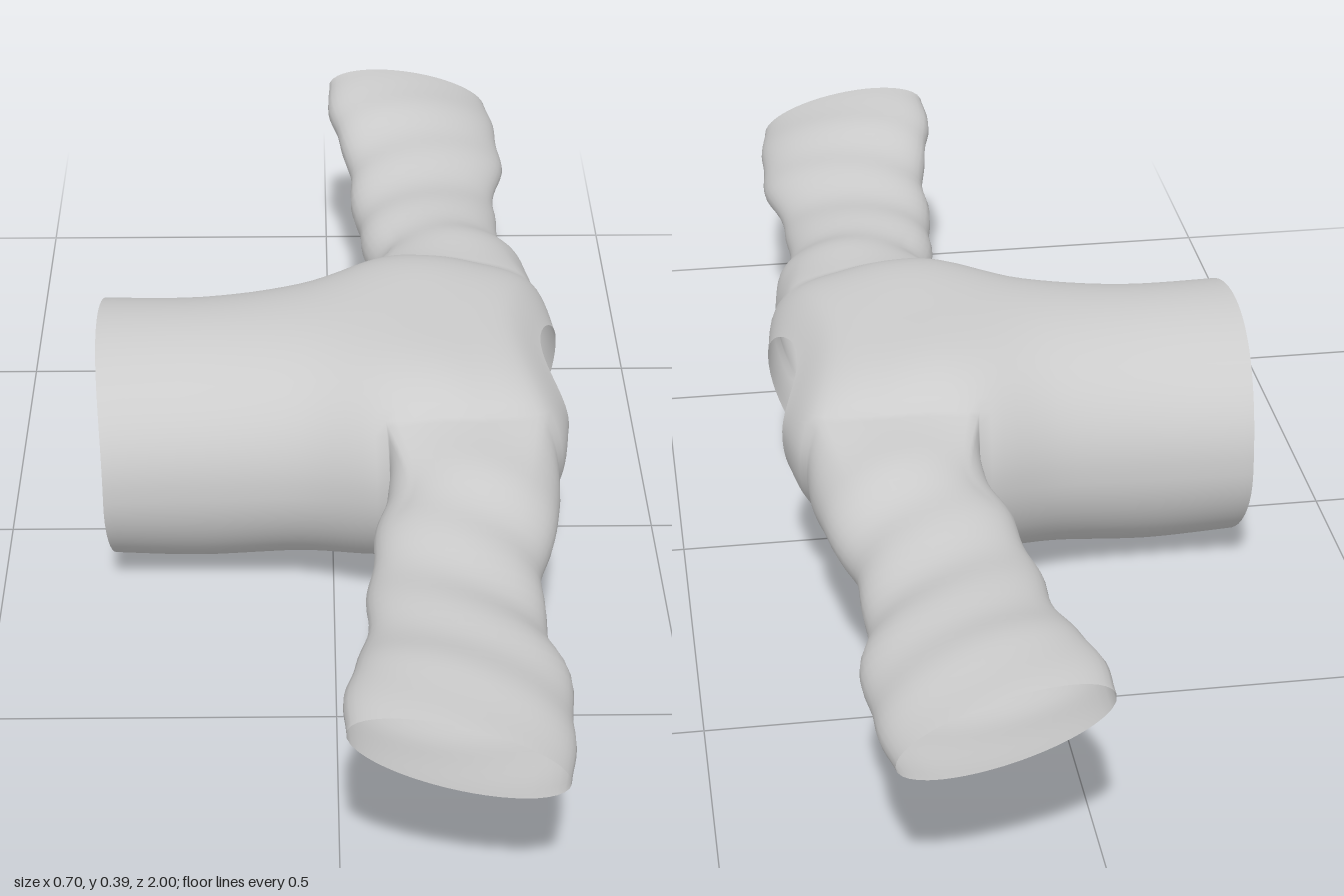
import * as THREE from 'three';

// Smooth interpolation through a list of equal-length number rows
function spline(rows, t) {
  const n = rows.length - 1;
  const i = Math.min(Math.floor(t), n - 1), f = t - i;
  const p0 = rows[Math.max(i - 1, 0)], p1 = rows[i], p2 = rows[i + 1], p3 = rows[Math.min(i + 2, n)];
  return p1.map((b, k) => {
    const a = p0[k], c = p2[k], d = p3[k];
    return b + 0.5 * f * (c - a + f * (2 * a - 5 * b + 4 * c - d + f * (3 * (b - c) + d - a)));
  });
}

// Bodice sections, hem to neck: side x, half width, side y, top x, top y, bottom x, bottom y, shoulder bulge
const BODICE = [
  [-0.34, 0.225, 0.19, -0.355, 0.374, -0.323, 0.012, 0],
  [-0.2, 0.22, 0.19, -0.2, 0.376, -0.2, 0.003, 0],
  [-0.05, 0.24, 0.205, -0.05, 0.386, -0.05, 0.018, 0.005],
  [0.08, 0.3, 0.235, 0.06, 0.394, 0.05, 0.032, 0.014],
  [0.16, 0.3, 0.245, 0.125, 0.393, 0.11, 0.045, 0.018],
  [0.235, 0.29, 0.25, 0.19, 0.386, 0.175, 0.068, 0.014],
  [0.325, 0.25, 0.26, 0.265, 0.37, 0.24, 0.092, 0.006],
  [0.35, 0.13, 0.26, 0.315, 0.33, 0.29, 0.115, 0],
];
// Sleeve sections, shoulder to cuff: z, centre x, centre y, half x, half y, tilt
const SLEEVE = [
  [0.36, 0.195, 0.258, 0.125, 0.079, -0.05],
  [0.48, 0.17, 0.253, 0.12, 0.066, -0.1],
  [0.62, 0.16, 0.255, 0.12, 0.059, -0.12],
  [0.76, 0.165, 0.269, 0.136, 0.058, -0.15],
  [0.88, 0.152, 0.281, 0.147, 0.06, -0.18],
  [0.985, 0.145, 0.292, 0.14, 0.049, -0.2],
];
const COLS = 64, STEPS = 6, HALF_HOLE = 6;
const HOLE_START = 3 * STEPS, HOLE_END = 6 * STEPS, ROWS = 7 * STEPS;
const wrap = (j) => (j + COLS) % COLS;

export function createModel() {
  const points = [];
  const indices = { bodice: [], leftSleeve: [], rightSleeve: [] };
  const quad = (list, a, b, c, d, flip) =>
    flip ? list.push(a, c, b, a, d, c) : list.push(a, b, c, a, c, d);

  // Bodice: tube from hem to neckline with two armholes left open
  for (let i = 0; i <= ROWS; i++) {
    const [xs, w, ys, xt, yt, xb, yb, bulge] = spline(BODICE, i / STEPS);
    for (let j = 0; j < COLS; j++) {
      const a = (j / COLS) * Math.PI * 2, c = Math.cos(a), s = Math.sin(a);
      const x = xs + s * s * ((s > 0 ? xt : xb) - xs);
      const y = s > 0
        ? ys + Math.pow(s, 0.87) * (yt - ys) + bulge * Math.sin(2 * a) ** 2
        : ys + s * (ys - yb);
      points.push([x, y, w * c]);
    }
  }
  const id = (i, j) => i * COLS + wrap(j);
  for (let i = 0; i < ROWS; i++) {
    for (let j = 0; j < COLS; j++) {
      const fromLeft = wrap(j + HALF_HOLE), fromRight = wrap(j + HALF_HOLE - COLS / 2);
      const open = i >= HOLE_START && i < HOLE_END &&
        (fromLeft < 2 * HALF_HOLE || fromRight < 2 * HALF_HOLE);
      if (!open) quad(indices.bodice, id(i, j), id(i + 1, j), id(i + 1, j + 1), id(i, j + 1));
    }
  }

  // Sleeves: grow from the armhole edge and settle into tilted ovals
  for (const side of [1, -1]) {
    const list = side > 0 ? indices.leftSleeve : indices.rightSleeve;
    const edge = (i, j) => id(i, side > 0 ? j : COLS / 2 - j);
    const loop = [];
    for (let i = HOLE_START; i < HOLE_END; i++) loop.push(edge(i, -HALF_HOLE));
    for (let j = -HALF_HOLE; j < HALF_HOLE; j++) loop.push(edge(HOLE_END, j));
    for (let i = HOLE_END; i > HOLE_START; i--) loop.push(edge(i, HALF_HOLE));
    for (let j = HALF_HOLE; j > -HALF_HOLE; j--) loop.push(edge(HOLE_START, j));

    // One path along the sleeve for each armhole vertex
    const paths = loop.map((v) => {
      const p = points[v];
      const phi = Math.atan2((p[1] - 0.245) / 0.1, (p[0] - 0.2) / 0.125);
      const c = Math.cos(phi), s = Math.sin(phi);
      const ovals = SLEEVE.map(([z, cx, cy, hx, hy, tilt]) =>
        [cx + hx * c, cy + hy * s + tilt * hx * c, side * (z + (z > 0.8 ? 0.1 * hx * c : 0))]);
      return { phi, keys: [p, ...ovals] };
    });
    const rings = SLEEVE.length * STEPS;
    let previous = loop;
    for (let r = 1; r <= rings; r++) {
      const ring = paths.map(({ phi, keys }) => {
        const t = r / STEPS, p = spline(keys, t);
        // Soft cloth folds, fading at both ends
        const fold = 0.004 * Math.sin((Math.PI * r) / rings) * Math.sin(5 * t + 2 * phi);
        points.push([p[0] + fold * Math.cos(phi), p[1] + fold * Math.sin(phi), p[2]]);
        return points.length - 1;
      });
      ring.forEach((v, k) => {
        const n = (k + 1) % ring.length;
        quad(list, previous[k], previous[n], ring[n], v, side < 0);
      });
      previous = ring;
    }
  }

  // Shared vertices keep the shading smooth across the armhole seams
  const whole = new THREE.BufferGeometry();
  whole.setAttribute('position', new THREE.Float32BufferAttribute(points.flat(), 3));
  whole.setIndex(Object.values(indices).flat());
  whole.computeVertexNormals();

  const cloth = new THREE.MeshStandardMaterial({ color: 0xcccccc, side: THREE.DoubleSide });
  const group = new THREE.Group();
  group.name = 'croppedTop';
  for (const [name, index] of Object.entries(indices)) {
    const geometry = new THREE.BufferGeometry();
    geometry.setAttribute('position', whole.getAttribute('position'));
    geometry.setAttribute('normal', whole.getAttribute('normal'));
    geometry.setIndex(index);
    const mesh = new THREE.Mesh(geometry, cloth);
    mesh.name = name;
    group.add(mesh);
  }
  return group;
}
